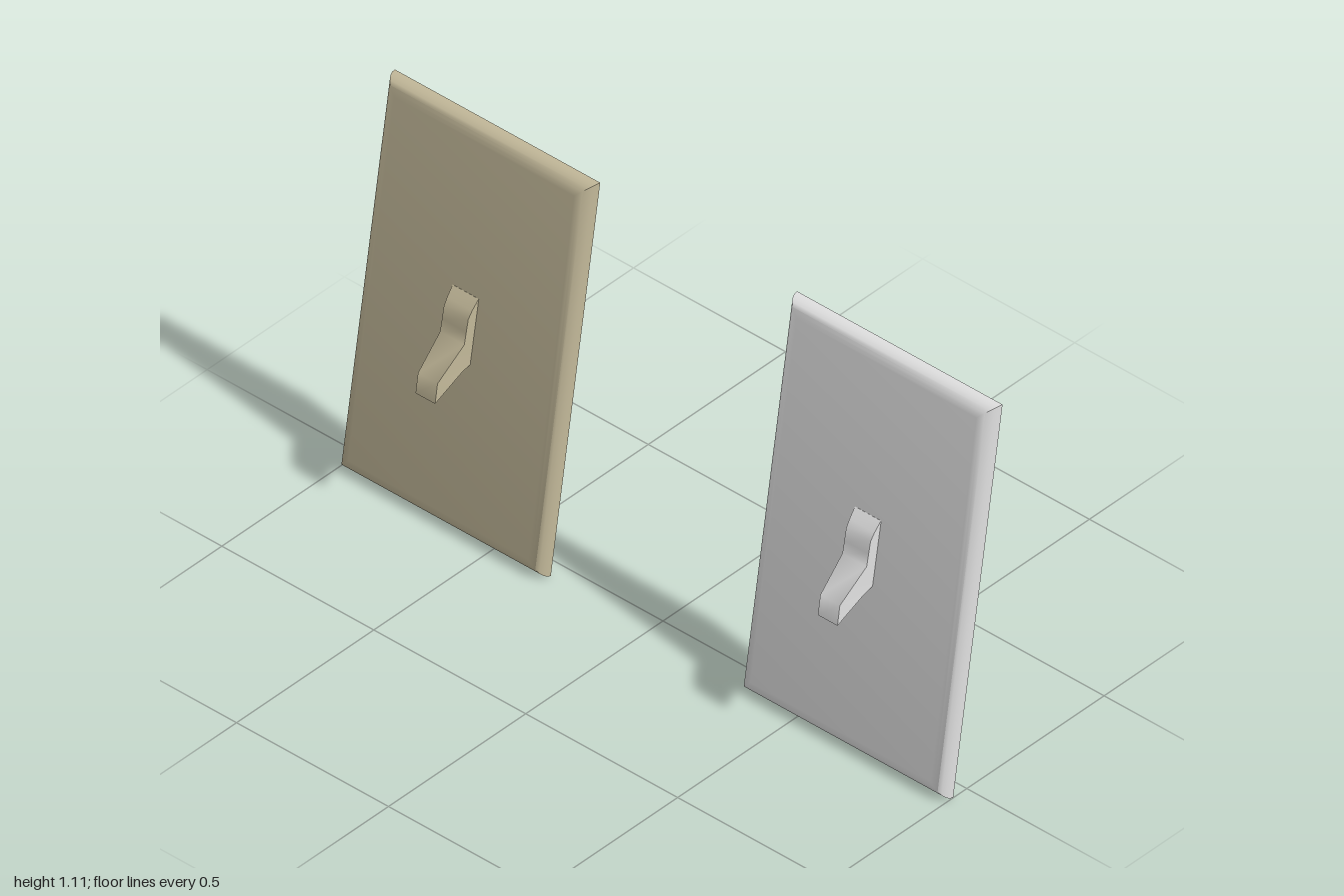
import * as THREE from 'three';
import { toCreasedNormals } from 'three/addons/utils/BufferGeometryUtils.js';

const TILT = 0.161, W = 0.676, H = 1.124, T = 0.043, ROUND = 0.042, BACK_Z = 0.05;

// Plate: rectangular rings inset along a quarter round, closed front and back
function plateGeometry() {
  const steps = 6, pos = [], idx = [];
  for (let i = 0; i <= steps; i++) {
    const a = (i / steps) * Math.PI / 2;
    const inset = ROUND * (1 - Math.cos(a)), z = T * Math.sin(a);
    const x = W / 2 - inset, y0 = inset, y1 = H - inset;
    pos.push(-x, y0, z, x, y0, z, x, y1, z, -x, y1, z);
  }
  for (let i = 0; i < steps; i++) {
    for (let j = 0; j < 4; j++) {
      const a = i * 4 + j, b = i * 4 + (j + 1) % 4;
      idx.push(a, b, b + 4, a, b + 4, a + 4);
    }
  }
  const f = steps * 4;
  idx.push(f, f + 1, f + 2, f, f + 2, f + 3); // front face
  idx.push(0, 2, 1, 0, 3, 2); // back face
  const g = new THREE.BufferGeometry();
  g.setAttribute('position', new THREE.Float32BufferAttribute(pos, 3));
  g.setIndex(idx);
  g.rotateX(-TILT);
  g.translate(0, 0, BACK_Z);
  return toCreasedNormals(g, 0.8);
}

// Toggle: side profile (z, y) extruded across x, narrowing away from the plate
function toggleGeometry() {
  const profile = [
    [-0.03, 0.665], [-0.014, 0.665], [0.008, 0.64], [0.021, 0.62], [0.028, 0.585],
    [0.035, 0.55], [0.124, 0.477], [0.133, 0.42], [0.045, 0.47], [0.0, 0.485],
  ];
  const shape = new THREE.Shape(profile.map(([z, y]) => new THREE.Vector2(z, y)));
  const g = new THREE.ExtrudeGeometry(shape, { depth: 2, bevelEnabled: false });
  g.translate(0, 0, -1);
  g.rotateY(-Math.PI / 2);
  const p = g.attributes.position;
  for (let i = 0; i < p.count; i++) {
    const out = p.getZ(i) - (BACK_Z + T - Math.tan(TILT) * p.getY(i));
    p.setX(i, p.getX(i) * (0.043 - 0.1 * Math.max(0, out)));
  }
  return toCreasedNormals(g, 0.8);
}

export function createModel() {
  const model = new THREE.Group();
  model.name = 'switchPlates';

  const tan = new THREE.MeshStandardMaterial({ color: 0xc2b899 });
  tan.name = 'tan';
  const lightGrey = new THREE.MeshStandardMaterial({ color: 0xe0e0e0 });
  lightGrey.name = 'lightGrey';

  const plateGeo = plateGeometry(), toggleGeo = toggleGeometry();
  for (const [name, x, material] of [['tanSwitch', -0.662, tan], ['greySwitch', 0.662, lightGrey]]) {
    const unit = new THREE.Group();
    unit.name = name;
    const plate = new THREE.Mesh(plateGeo, material);
    plate.name = 'plate';
    const toggle = new THREE.Mesh(toggleGeo, material);
    toggle.name = 'toggle';
    unit.add(plate, toggle);
    unit.position.x = x;
    model.add(unit);
  }
  return model;
}
